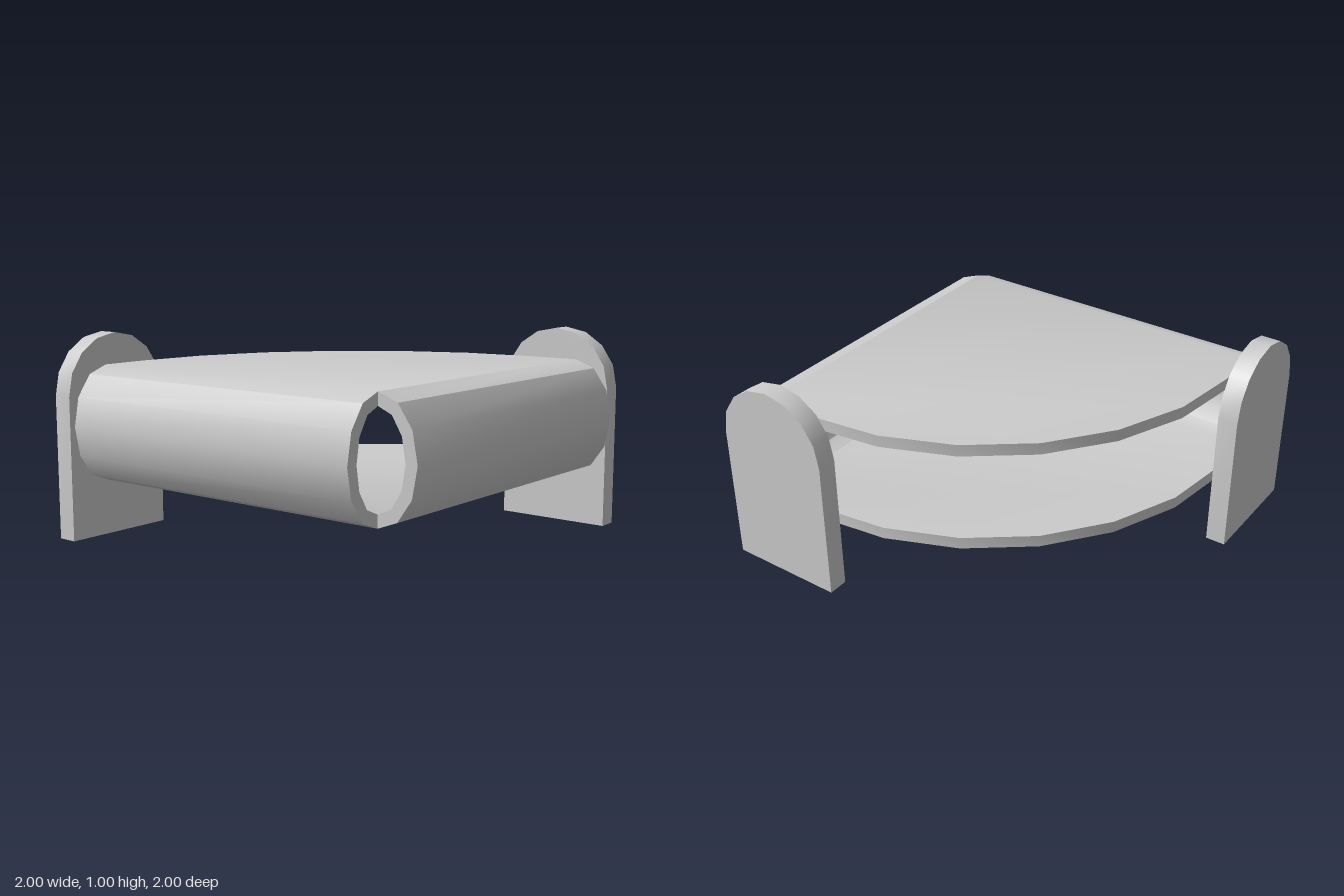
import * as THREE from 'three';
import { mergeGeometries, toCreasedNormals } from 'three/addons/utils/BufferGeometryUtils.js';

const CREASE = Math.PI / 6;
const material = new THREE.MeshStandardMaterial({ color: 0xcccccc });

// Points along an elliptical arc
function arc(cx, cy, rx, ry, from, to, segments) {
  return Array.from({ length: segments + 1 }, (_, i) => {
    const a = from + (to - from) * i / segments;
    return new THREE.Vector2(cx + rx * Math.cos(a), cy + ry * Math.sin(a));
  });
}

function extrude(points, depth) {
  return new THREE.ExtrudeGeometry(new THREE.Shape(points), { depth, bevelEnabled: false });
}

function addMesh(parent, name, geometry) {
  const mesh = new THREE.Mesh(toCreasedNormals(geometry, CREASE), material);
  mesh.name = name;
  parent.add(mesh);
  return mesh;
}

export function createModel() {
  const group = new THREE.Group();
  group.name = 'quarterRoundShell';
  const Q = Math.PI / 2;
  const inner = 0.8, back = -0.85, left = -0.865;
  const bottom = 0.28, top = 0.85, wall = 0.06;
  const midY = (bottom + top) / 2, halfH = (top - bottom) / 2;

  // Quarter-round plate, outlined in x and -z, laid flat
  const outline = [
    new THREE.Vector2(left, -inner),
    new THREE.Vector2(inner, -inner),
    new THREE.Vector2(inner, -back),
    ...arc(0.55, -0.56, 1.415, 1.41, Q, 2 * Q, 6),
  ];
  const plate = (y) => extrude(outline, wall).rotateX(-Q).translate(0, y, 0);

  // Half-elliptical hollow wall joining the two plates
  const profile = [
    ...arc(inner, midY, 0.2, halfH, -Q, Q, 6),
    ...arc(inner, midY, 0.14, halfH - wall, Q, -Q, 6),
  ];
  const sideWall = extrude(profile, inner - back).translate(0, 0, back);
  const frontWall = extrude(profile, inner - left).rotateY(-Q).translate(inner, 0, 0);

  // Plates and walls share one mesh so their shading runs on smoothly
  addMesh(group, 'shell', mergeGeometries([plate(top - wall), plate(bottom), sideWall, frontWall]));

  // Arched upright panels at the two open ends
  const r = 0.294;
  const arch = [
    new THREE.Vector2(-r, 0),
    new THREE.Vector2(r, 0),
    ...arc(0, 1 - r, r, r, 0, Math.PI, 8),
  ];
  const backPanel = addMesh(group, 'backPanel', extrude(arch, 0.1));
  backPanel.position.set(0.658, 0, -1);
  const sidePanel = addMesh(group, 'sidePanel', extrude(arch, 0.1).rotateY(Q));
  sidePanel.position.set(-1, 0, 1 - r);

  return group;
}
